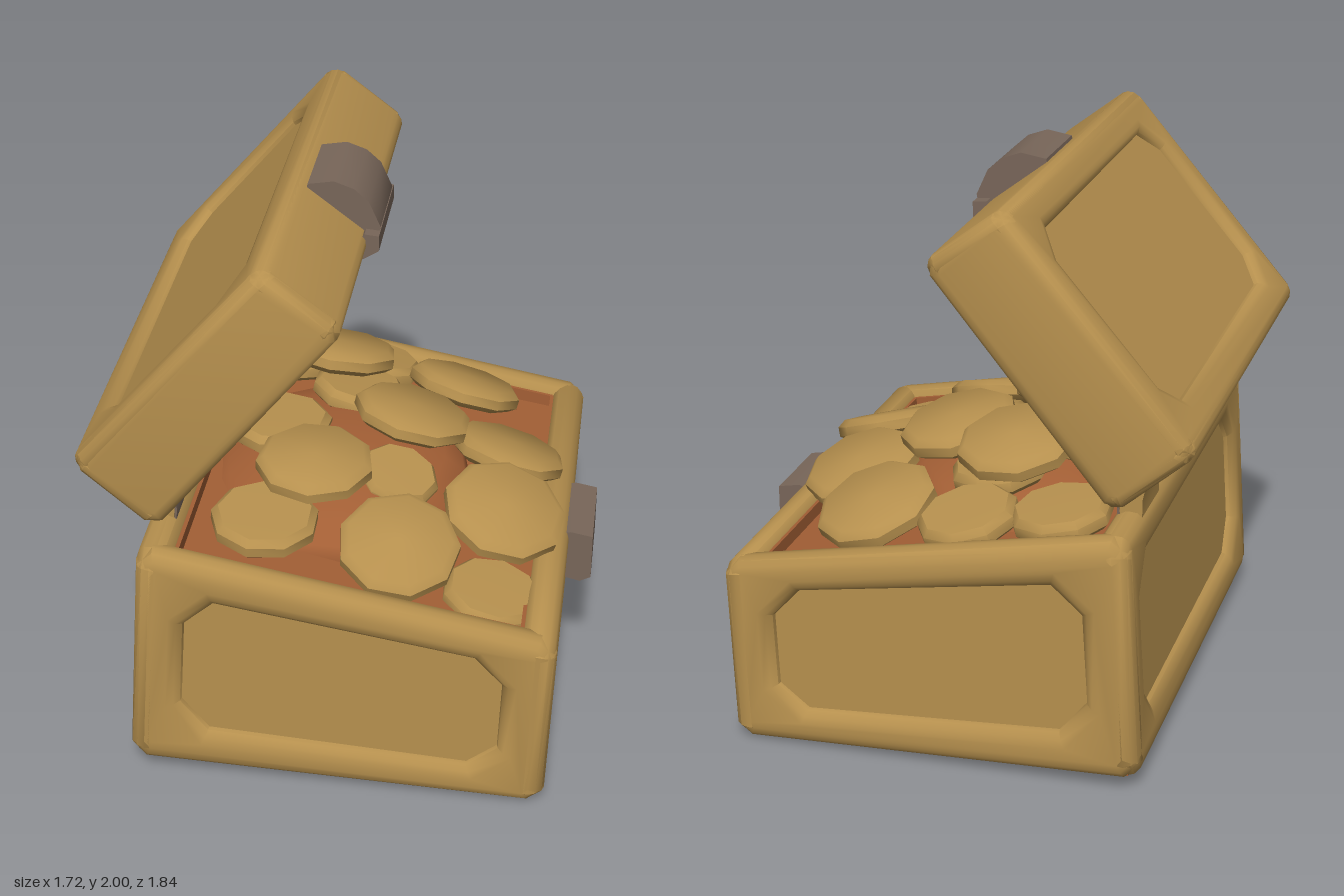
import * as THREE from 'three';
import { toCreasedNormals } from 'three/addons/utils/BufferGeometryUtils.js';

const mat = (name, color) => {
  const m = new THREE.MeshStandardMaterial({ color });
  m.name = name;
  return m;
};
const vecs = (pts) => pts.map((q) => new THREE.Vector2(...q));

export function createModel() {
  const gold = mat('goldenWood', 0xb6904e);
  const brown = mat('redBrownLining', 0xa35f35);
  const grey = mat('greyMetal', 0x786659);
  const root = new THREE.Group();
  root.name = 'treasureChest';

  // Straight w x h box (x centred, y from 0) bent into a quad given as [bl, br, tl, tr]
  const warp = (g, w, h, [bl, br, tl, tr]) => {
    const p = g.attributes.position;
    for (let i = 0; i < p.count; i++) {
      const s = p.getX(i) / w + 0.5, t = p.getY(i) / h;
      const mix = (k) => (1 - t) * ((1 - s) * bl[k] + s * br[k]) + t * ((1 - s) * tl[k] + s * tr[k]);
      p.setXY(i, mix(0), mix(1));
    }
    return toCreasedNormals(g, 0.8);
  };

  // Rectangle with cut corners, half sizes x and y
  const octagon = (x, y, c) => vecs([[-x + c, -y], [x - c, -y], [x, -y + c], [x, y - c],
    [x - c, y], [-x + c, y], [-x, y - c], [-x, -y + c]]);

  // Rounded plate centred on x and y, outer face at z = 0, optionally with a chamfered opening
  const plate = (w, h, depth, bevel, inset) => {
    const s = new THREE.Shape(octagon(w / 2, h / 2, bevel));
    if (inset) s.holes.push(new THREE.Path(octagon(w / 2 - inset[0], h / 2 - inset[1], 0.1).reverse()));
    const g = new THREE.ExtrudeGeometry(s, {
      depth: depth - 2 * bevel, bevelThickness: bevel, bevelSize: bevel, bevelOffset: -bevel, bevelSegments: 3,
    });
    return g.translate(0, 0, bevel - depth);
  };

  const box = (x0, x1, y0, y1, z0, z1) =>
    new THREE.BoxGeometry(x1 - x0, y1 - y0, z1 - z0).translate((x0 + x1) / 2, (y0 + y1) / 2, (z0 + z1) / 2);

  // Flat profile extruded across z
  const slab = (pts, width, z = 0) =>
    new THREE.ExtrudeGeometry(new THREE.Shape(vecs(pts)), { depth: width, bevelEnabled: false })
      .translate(0, 0, z - width / 2);

  const adder = (group, w, h, quad) => (name, g, m) => {
    const mesh = new THREE.Mesh(warp(g, w, h, quad), m);
    mesh.name = name;
    group.add(mesh);
  };

  // Four thin lining strips inside the walls
  const lining = (add, w, d, tx, tz, y0, y1) => {
    const a = w / 2 - tx, b = d / 2 - tz;
    for (const s of [-1, 1]) {
      add('liningEnd', box(-a, a, y0, y1, s * b - 0.008, s * b + 0.008), brown);
      add('liningSide', box(s * a - 0.008, s * a + 0.008, y0, y1, -b, b), brown);
    }
  };

  // Chest body: framed walls with sunken panels
  const body = new THREE.Group();
  body.name = 'body';
  root.add(body);
  const W = 1.47, H = 0.8, D = 1.84;
  const addBody = adder(body, W, H, [[-0.72, 0.055], [0.75, 0], [-0.66, 0.945], [0.775, 0.675]]);
  for (let i = 0; i < 4; i++) {
    const span = i % 2 ? D : W, out = (i % 2 ? W : D) / 2;
    const place = (g) => g.translate(0, H / 2, out).rotateY(i * Math.PI / 2);
    addBody('wallFrame', place(plate(span, H, 0.125, 0.055, [0.18, 0.15])), gold);
    addBody('wallPanel', place(box(-span / 2 + 0.1, span / 2 - 0.1, -H / 2 + 0.08, H / 2 - 0.08, -0.12, -0.042)), gold);
  }
  lining(addBody, W, D, 0.125, 0.125, 0.5, H - 0.035);
  addBody('floor', box(-W / 2 + 0.05, W / 2 - 0.05, 0, 0.1, -D / 2 + 0.05, D / 2 - 0.05), brown);
  addBody('bed', box(-W / 2 + 0.11, W / 2 - 0.11, 0.1, H * 0.89, -D / 2 + 0.11, D / 2 - 0.11), brown);

  // Open lid, leaning back
  const lid = new THREE.Group();
  lid.name = 'lid';
  root.add(lid);
  const w = 1, h = 0.36, d = 1.76;
  const addLid = adder(lid, w, h, [[-0.595, 1.0], [0.055, 1.8], [-0.88, 1.245], [-0.22, 2.01]]);
  for (let i = 0; i < 4; i++) {
    const span = i % 2 ? d : w, out = (i % 2 ? w : d) / 2;
    addLid('lidWall', plate(span, h, i % 2 ? 0.09 : 0.1, 0.045).translate(0, h / 2, out).rotateY(i * Math.PI / 2), gold);
  }
  addLid('lidFrame', plate(w, d, 0.09, 0.045, [0.15, 0.14]).rotateX(-Math.PI / 2).translate(0, h, 0), gold);
  addLid('lidPanel', box(-w / 2 + 0.07, w / 2 - 0.07, h - 0.07, h - 0.036, -d / 2 + 0.07, d / 2 - 0.07), gold);
  addLid('lidCeiling', box(-w / 2 + 0.07, w / 2 - 0.07, h - 0.095, h - 0.07, -d / 2 + 0.07, d / 2 - 0.07), brown);
  addLid('lidBackLining', slab([[-0.44, 0.01], [-0.41, 0.01], [-0.33, 0.29], [-0.44, 0.29]], d - 0.18), brown);
  lining(addLid, w, d, 0.085, 0.1, 0.015, h - 0.08);

  // Metal fittings and hinges
  const fitting = (name, pts, width, z, m = grey) => {
    const mesh = new THREE.Mesh(toCreasedNormals(slab(pts, width, z), 0.7), m);
    mesh.name = name;
    root.add(mesh);
  };
  fitting('lidClasp', [[-0.18, 1.94], [0, 1.76], [0.07, 1.79], [0.08, 1.84], [0.04, 1.93], [-0.01, 1.975], [-0.08, 2], [-0.17, 1.985]], 0.33);
  fitting('claspLip', [[-0.02, 1.76], [0.025, 1.735], [0.08, 1.77], [0.08, 1.825], [0.03, 1.83]], 0.42);
  fitting('lockPlate', [[0.7, 0.48], [0.82, 0.45], [0.86, 0.47], [0.86, 0.645], [0.78, 0.66], [0.7, 0.64]], 0.34);
  for (const s of [-1, 1]) {
    fitting('hingeBack', [[-0.65, 0.9], [-0.575, 0.9], [-0.57, 0.96], [-0.59, 1.06], [-0.67, 1.07], [-0.65, 0.98]], 0.24, s * 0.54, gold);
    fitting('hingePlate', [[-0.574, 0.9], [-0.566, 0.9], [-0.561, 0.96], [-0.581, 1.05], [-0.589, 1.05], [-0.569, 0.96]], 0.24, s * 0.54);
  }

  // Mound under the coins
  const mound = new THREE.Mesh(new THREE.SphereGeometry(1, 14, 10), brown);
  mound.name = 'mound';
  mound.scale.set(0.5, 0.2, 0.6);
  mound.position.set(-0.1, 0.72, 0);
  root.add(mound);

  // Coins: centre x, y, z, radius, and tilt of the face towards x and z
  const coins = [
    [0.32, 0.81, -0.58, 0.22, 0.27, -0.33], [0.52, 0.77, -0.18, 0.22, 0.28, -0.27],
    [0.17, 0.95, -0.1, 0.22, 0.24, -0.16], [0.54, 0.78, 0.25, 0.225, 0.27, 0.28],
    [0.2, 0.82, 0.58, 0.215, 0.12, 0.42], [0.53, 0.655, 0.6, 0.18, 0.2, 0.08],
    [0.15, 0.86, 0.2, 0.15, 0.3, 0.2], [-0.13, 0.98, 0.33, 0.21, 0.04, 0.1],
    [-0.14, 1.03, -0.4, 0.215, 0.12, -0.26], [-0.27, 0.89, 0.58, 0.19, 0.06, 0.1],
    [-0.31, 0.92, -0.02, 0.19, 0.02, 0], [-0.04, 0.84, -0.66, 0.18, 0.2, -0.2],
    [-0.36, 0.88, -0.62, 0.18, 0.15, -0.1], [-0.06, 0.9, -0.34, 0.18, 0.2, -0.1],
  ];
  const up = new THREE.Vector3(0, 1, 0);
  const profile = [[0, -0.042], [0.86, -0.042], [1, -0.02], [1, 0.016], [0.87, 0.04], [0, 0.044]];
  coins.forEach(([x, y, z, r, nx, nz], i) => {
    const g = new THREE.LatheGeometry(vecs(profile.map(([a, b]) => [a * r, b])), 9);
    const coin = new THREE.Mesh(toCreasedNormals(g, 0.75), gold);
    coin.name = 'coin';
    coin.position.set(x, y, z);
    coin.quaternion.setFromUnitVectors(up, new THREE.Vector3(nx, 1, nz).normalize());
    coin.rotateY(i * 1.3);
    root.add(coin);
  });
  return root;
}
